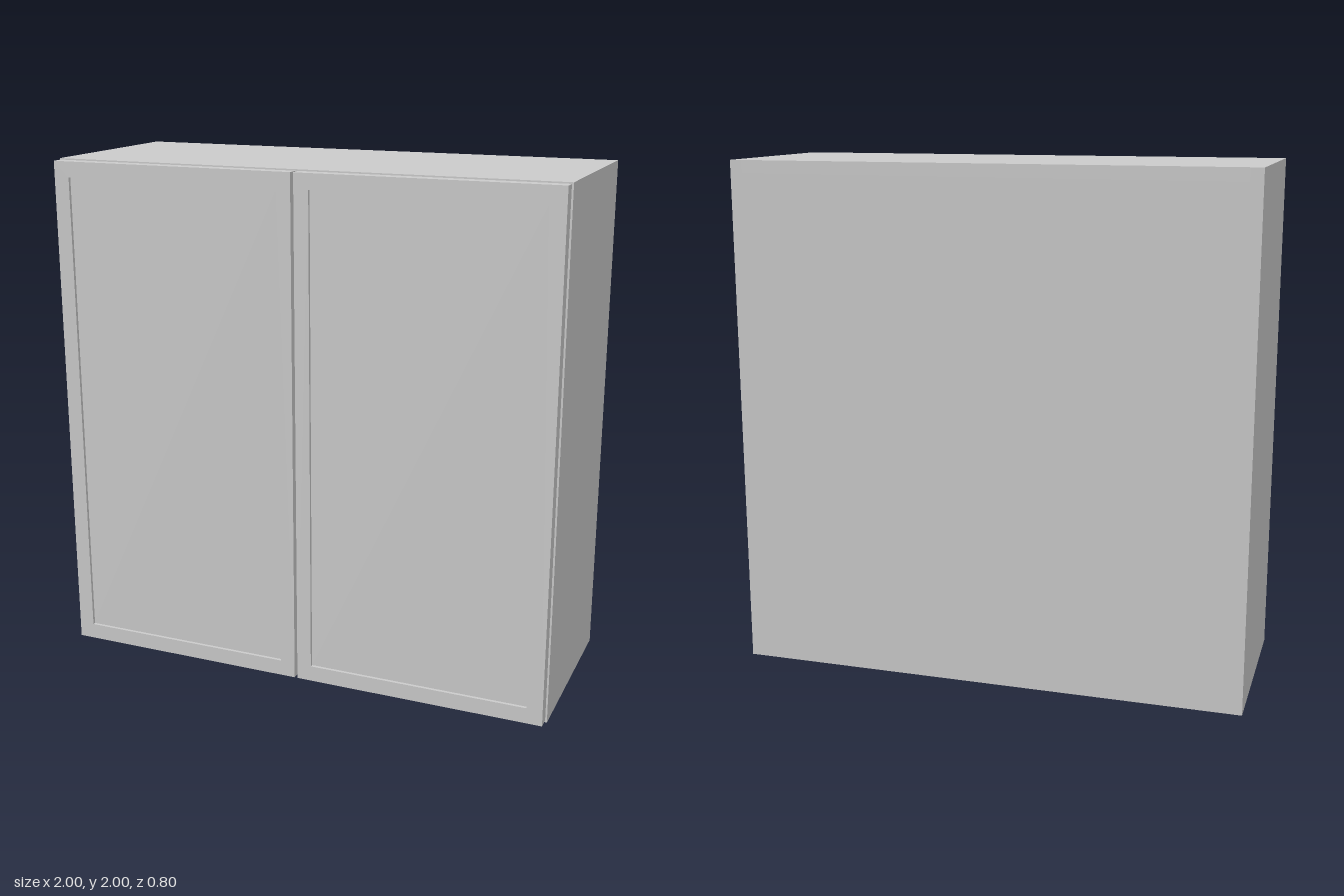
import * as THREE from 'three';

const material = new THREE.MeshStandardMaterial({ color: 0xcccccc });

// Box given by its limits on each axis
function panel(name, [x0, x1], [y0, y1], [z0, z1]) {
  const mesh = new THREE.Mesh(new THREE.BoxGeometry(x1 - x0, y1 - y0, z1 - z0), material);
  mesh.position.set((x0 + x1) / 2, (y0 + y1) / 2, (z0 + z1) / 2);
  mesh.name = name;
  return mesh;
}

function rectangle(path, x0, x1, y0, y1) {
  path.moveTo(x0, y0).lineTo(x1, y0).lineTo(x1, y1).lineTo(x0, y1).closePath();
  return path;
}

// Door with a raised frame around a slightly recessed panel
function makeDoor(side) {
  const door = new THREE.Group();
  door.name = side > 0 ? 'leftDoor' : 'rightDoor';
  const span = (a, b) => (side > 0 ? [a, b] : [-b, -a]);
  const [x0, x1] = span(0.006, 0.994);
  const [h0, h1] = span(0.064, 0.932);

  const shape = rectangle(new THREE.Shape(), x0, x1, 0.01, 1.995);
  shape.holes.push(rectangle(new THREE.Path(), h0, h1, 0.072, 1.935));
  const frame = new THREE.Mesh(
    new THREE.ExtrudeGeometry(shape, { depth: 0.048, bevelEnabled: false }), material);
  frame.position.z = 0.35;
  frame.name = 'doorFrame';

  door.add(frame, panel('doorPanel', [h0, h1], [0.072, 1.935], [0.35, 0.386]));
  return door;
}

export function createModel() {
  const cabinet = new THREE.Group();
  cabinet.name = 'wallCabinet';
  const t = 0.048, back = -0.398, front = 0.346;
  const inner = [-1 + t, 1 - t];

  // Carcass
  cabinet.add(
    panel('leftSide', [1 - t, 1], [0, 2], [back, front]),
    panel('rightSide', [-1, -1 + t], [0, 2], [back, front]),
    panel('topPanel', inner, [2 - t, 2], [back, front]),
    panel('bottomPanel', inner, [0, t], [back, front]),
    panel('backPanel', inner, [t, 2 - t], [back, back + 0.02]),
    panel('shelf', inner, [0.976, 1.024], [back + 0.02, front - 0.01]));

  // Pair of doors
  for (const side of [-1, 1]) cabinet.add(makeDoor(side));
  return cabinet;
}
